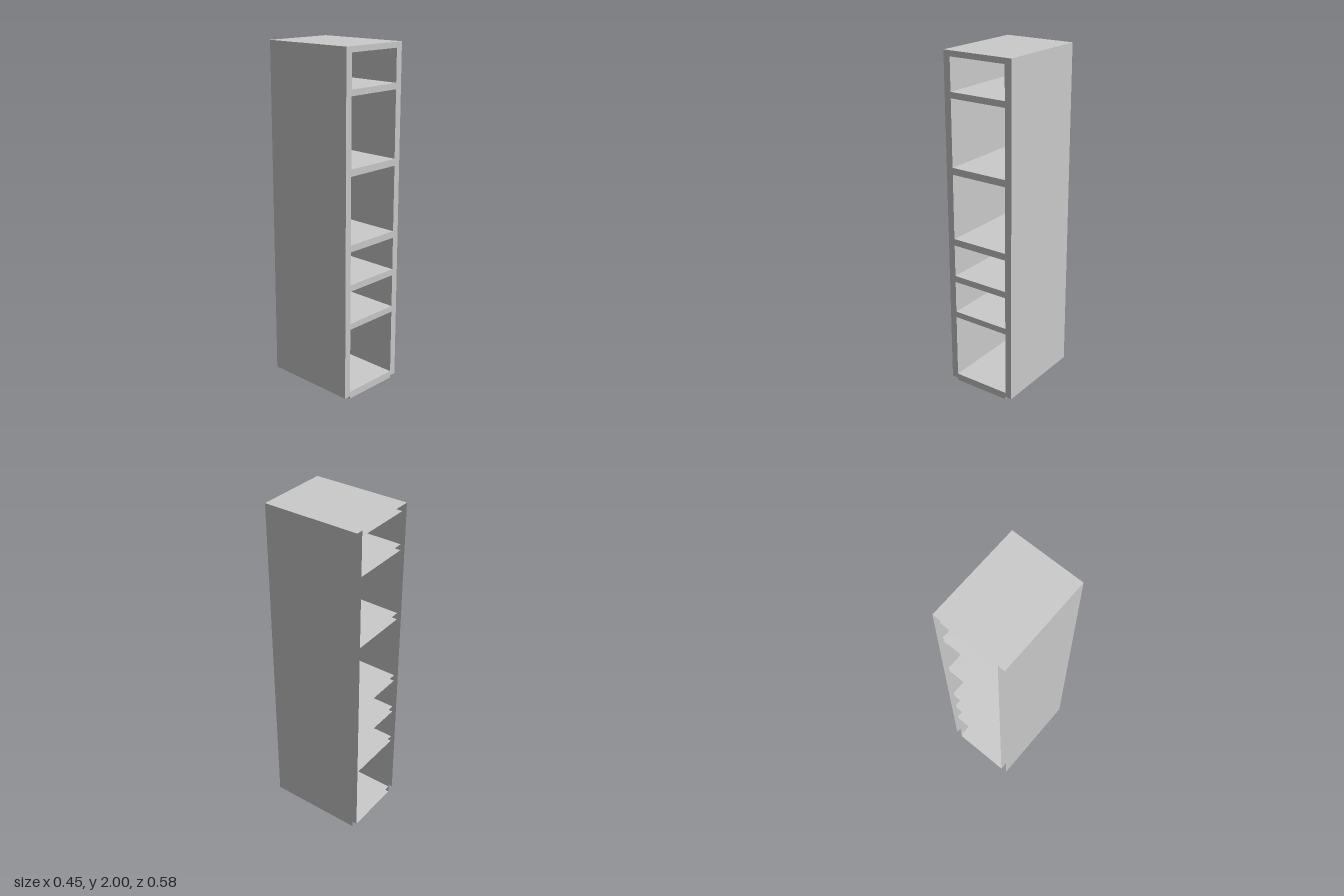
import * as THREE from 'three';

export function createModel() {
  const model = new THREE.Group();
  model.name = 'shelfCabinet';
  const cabinet = new THREE.Group();
  cabinet.name = 'cabinet';
  cabinet.rotation.y = -0.0185; // stands very slightly turned
  model.add(cabinet);

  const material = new THREE.MeshStandardMaterial({
    color: 0xcccccc, flatShading: true, side: THREE.DoubleSide,
  });
  const halfW = 0.2185, inner = 0.1775, depth = 0.577;
  const top = 2, sideBottom = 0.015;

  // [underside, upper side] of each hollow board, bottom to top
  const boards = [
    [0, 0.043], [0.432, 0.468], [0.662, 0.7], [0.892, 0.932],
    [1.317, 1.357], [1.745, 1.78], [1.968, top],
  ];

  const add = (name, geometry) => {
    const mesh = new THREE.Mesh(geometry, material);
    mesh.name = name;
    cabinet.add(mesh);
    return mesh;
  };
  const level = (name, width, y) => {
    const mesh = add(name, new THREE.PlaneGeometry(width, depth));
    mesh.rotation.x = -Math.PI / 2;
    mesh.position.y = y;
  };
  const upright = (name, x, y0, y1) => {
    const mesh = add(name, new THREE.PlaneGeometry(depth, y1 - y0));
    mesh.rotation.y = Math.sign(x) * Math.PI / 2;
    mesh.position.set(x, (y0 + y1) / 2, 0);
  };

  // Front frame: stiles and rails in one sheet, with a hole per compartment
  const frame = new THREE.Shape();
  [[-halfW, sideBottom], [-inner, sideBottom], [-inner, 0], [inner, 0],
    [inner, sideBottom], [halfW, sideBottom], [halfW, top], [-halfW, top]]
    .forEach(([x, y], i) => (i ? frame.lineTo(x, y) : frame.moveTo(x, y)));
  for (let i = 0; i < boards.length - 1; i++) {
    const y0 = boards[i][1], y1 = boards[i + 1][0];
    const hole = new THREE.Path();
    hole.moveTo(-inner, y0);
    hole.lineTo(-inner, y1);
    hole.lineTo(inner, y1);
    hole.lineTo(inner, y0);
    hole.closePath();
    frame.holes.push(hole);
  }
  add('frontFrame', new THREE.ShapeGeometry(frame)).position.z = depth / 2;

  // Hollow side walls, open at the back and underneath
  for (const [side, s] of [['left', 1], ['right', -1]]) {
    upright(side + 'OuterWall', s * halfW, sideBottom, top);
    upright(side + 'InnerWall', s * inner, 0, top - 0.001);
  }

  // Hollow boards, open at the back; the topmost one spans the full width
  boards.forEach(([y0, y1], i) => {
    const last = i === boards.length - 1;
    const name = i === 0 ? 'base' : last ? 'top' : 'shelf' + i;
    level(name + 'Underside', inner * 2, y0);
    level(name + 'Surface', (last ? halfW : inner) * 2, y1);
  });

  return model;
}
